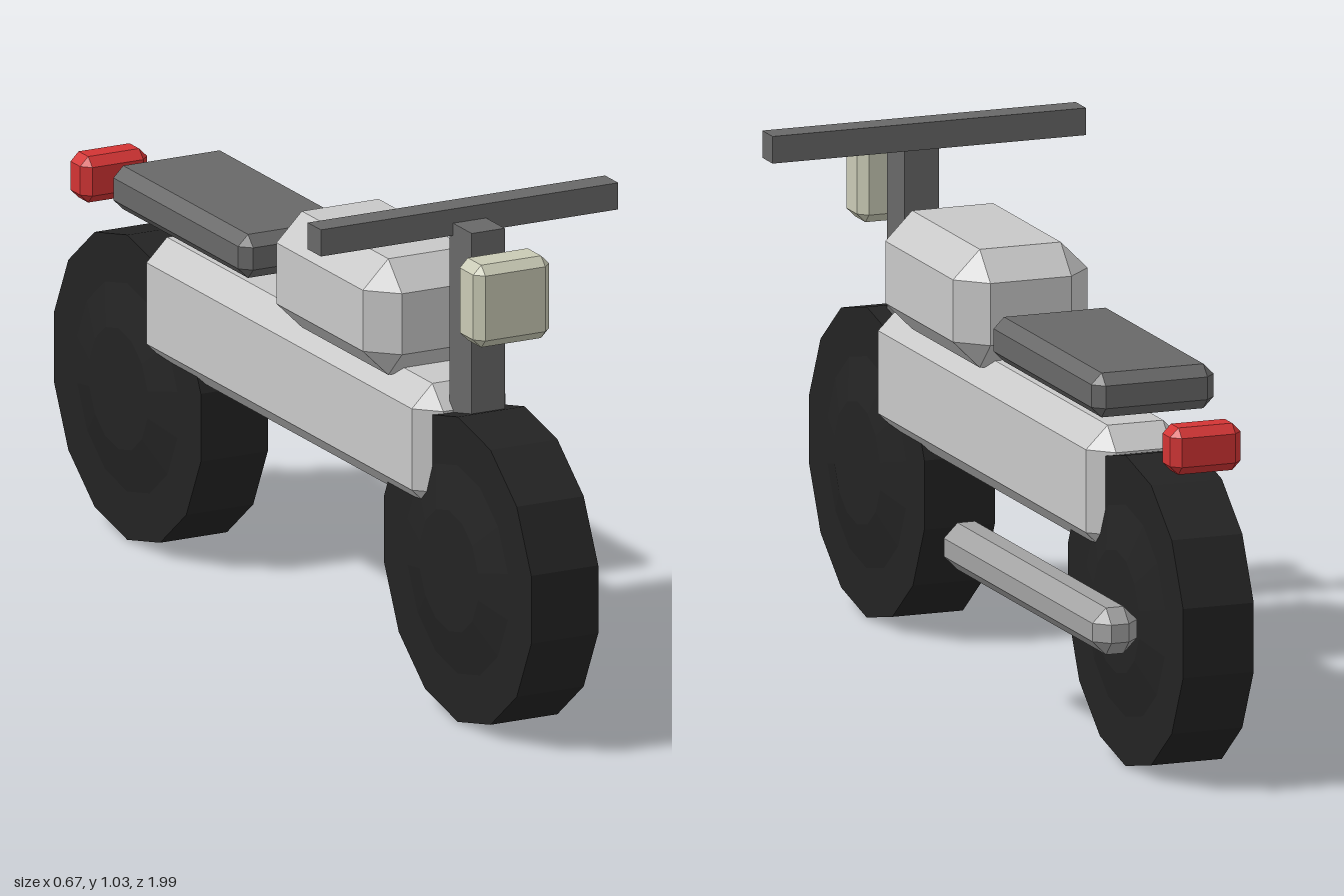
import * as THREE from 'three';
import { ConvexGeometry } from 'three/addons/geometries/ConvexGeometry.js';

const paint = (name, color) => {
  const m = new THREE.MeshStandardMaterial({ color, flatShading: true });
  m.name = name;
  return m;
};

// Box with every edge and corner cut flat by the bevel b
function chamferBox(w, h, d, b) {
  const points = [];
  for (const sx of [-1, 1]) for (const sy of [-1, 1]) for (const sz of [-1, 1]) {
    const x = w / 2, y = h / 2, z = d / 2;
    points.push(
      new THREE.Vector3(sx * x, sy * (y - b), sz * (z - b)),
      new THREE.Vector3(sx * (x - b), sy * y, sz * (z - b)),
      new THREE.Vector3(sx * (x - b), sy * (y - b), sz * z)
    );
  }
  return new ConvexGeometry(points);
}

export function createModel() {
  const model = new THREE.Group();
  model.name = 'motorcycle';

  const silver = paint('silver paint', 0xc8c8c8);
  const darkGrey = paint('dark grey', 0x686868);
  const steel = paint('exhaust steel', 0xa2a2a2);
  const rubber = paint('black rubber', 0x232323);
  const red = paint('red lens', 0xd23434);
  const cream = paint('cream lens', 0xc9cab5);

  const add = (name, geometry, material, x, y, z) => {
    const mesh = new THREE.Mesh(geometry, material);
    mesh.name = name;
    mesh.position.set(x, y, z);
    model.add(mesh);
  };

  // Wheels: solid 14-sided discs with a raised, sloped centre
  const profile = [
    [0, -0.095], [0.125, -0.095], [0.215, -0.075], [0.315, -0.075],
    [0.315, 0.075], [0.215, 0.075], [0.125, 0.095], [0, 0.095],
  ].map(([r, a]) => new THREE.Vector2(r, a));
  const wheel = new THREE.LatheGeometry(profile, 14);
  wheel.rotateY(Math.PI / 2); // puts a corner at the top and bottom
  wheel.rotateZ(Math.PI / 2);
  add('frontWheel', wheel, rubber, 0, 0.315, 0.69);
  add('rearWheel', wheel, rubber, 0, 0.315, -0.69);

  // Body
  add('frame', chamferBox(0.21, 0.26, 1.2, 0.046), silver, 0, 0.53, 0);
  add('fuelTank', chamferBox(0.286, 0.24, 0.475, 0.057), silver, 0, 0.765, 0.24);
  add('seat', chamferBox(0.26, 0.09, 0.565, 0.022), darkGrey, 0, 0.745, -0.385);

  // Steering
  add('fork', new THREE.BoxGeometry(0.074, 0.6, 0.093), darkGrey, 0, 0.7, 0.631);
  add('handlebar', new THREE.BoxGeometry(0.666, 0.055, 0.055), darkGrey, 0, 1.002, 0.572);

  // Exhaust on the left side only
  add('exhaust', chamferBox(0.095, 0.095, 0.85, 0.029), steel, 0.19, 0.335, -0.525);

  // Lights
  add('headlight', chamferBox(0.17, 0.17, 0.092, 0.018), cream, 0, 0.88, 0.745);
  add('tailLight', chamferBox(0.15, 0.095, 0.076, 0.018), red, 0, 0.688, -0.907);

  return model;
}
